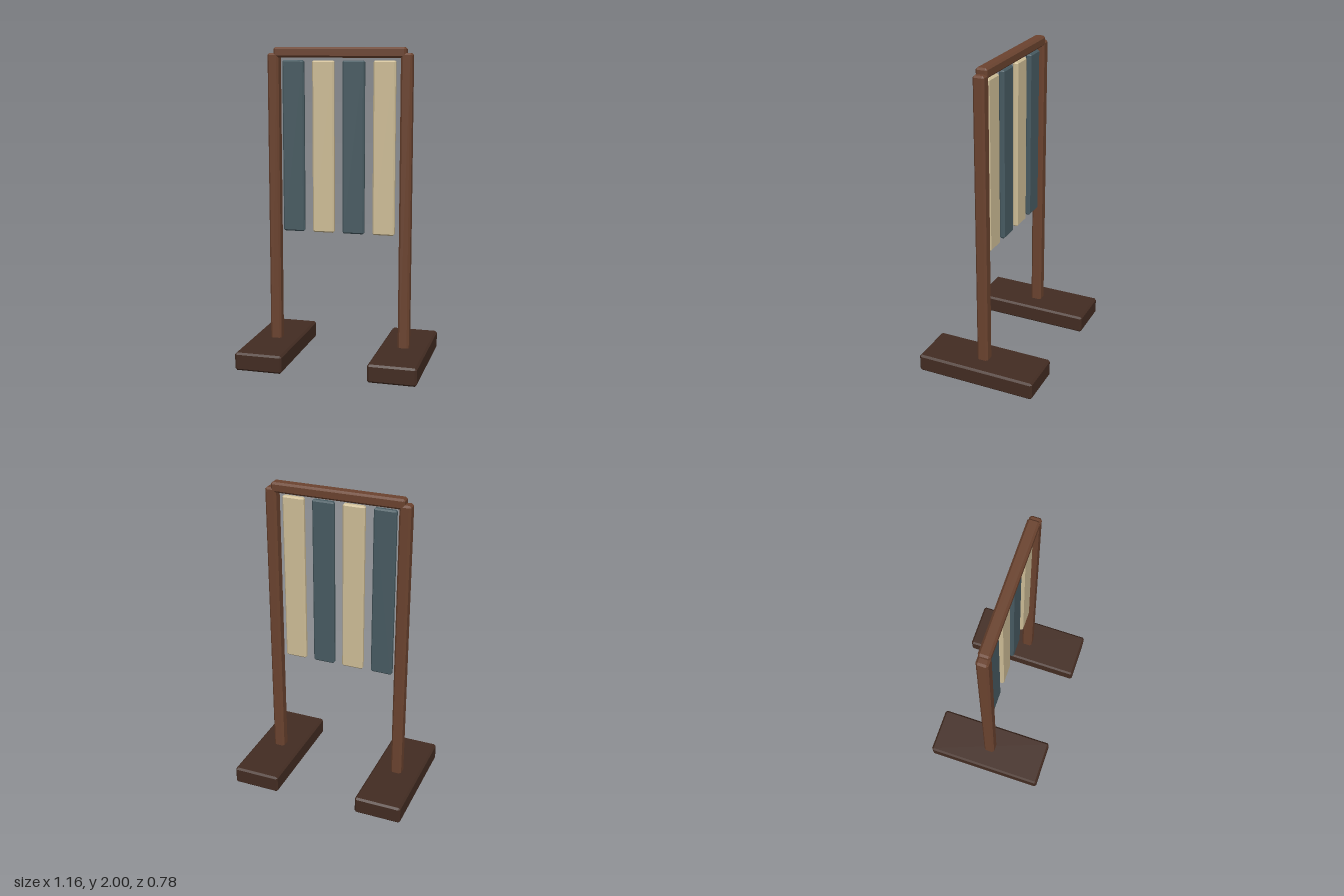
import * as THREE from 'three';
import { ConvexGeometry } from 'three/addons/geometries/ConvexGeometry.js';

function material(name, color) {
  const m = new THREE.MeshStandardMaterial({ color });
  m.name = name;
  return m;
}

// Box with flat chamfers: each corner becomes a small triangle
function chamferBox(w, h, d, c) {
  const points = [];
  for (const x of [-w / 2, w / 2])
    for (const y of [-h / 2, h / 2])
      for (const z of [-d / 2, d / 2]) {
        const ix = x - Math.sign(x) * c;
        const iy = y - Math.sign(y) * c;
        const iz = z - Math.sign(z) * c;
        points.push(
          new THREE.Vector3(x, iy, iz),
          new THREE.Vector3(ix, y, iz),
          new THREE.Vector3(ix, iy, z));
      }
  return new ConvexGeometry(points);
}

export function createModel() {
  const group = new THREE.Group();
  const darkWood = material('dark wood', 0x432c22);
  const redWood = material('red wood', 0x6b432f);
  const slate = material('slate blue', 0x485b62);
  const cream = material('cream', 0xcfbe97);

  function add(name, geometry, mat, x, y, z = 0) {
    const mesh = new THREE.Mesh(geometry, mat);
    mesh.name = name;
    mesh.position.set(x, y, z);
    group.add(mesh);
  }

  // Feet and uprights, mirrored
  const foot = chamferBox(0.306, 0.115, 0.78, 0.012);
  const post = chamferBox(0.072, 1.915, 0.072, 0.012);
  for (const [side, s] of [['left', 1], ['right', -1]]) {
    add(side + 'Foot', foot, darkWood, s * 0.425, 0.0575);
    add(side + 'Post', post, redWood, s * 0.425, 1.0075);
  }

  // Top rail
  add('topRail', chamferBox(0.844, 0.064, 0.072, 0.012), redWood, 0, 1.968);

  // Hanging slats in alternating colours
  const slat = chamferBox(0.14, 1.085, 0.036, 0.009);
  for (let i = 0; i < 4; i++)
    add('slat' + (i + 1), slat, i % 2 ? cream : slate, -0.299 + i * 0.195, 1.377);

  return group;
}
